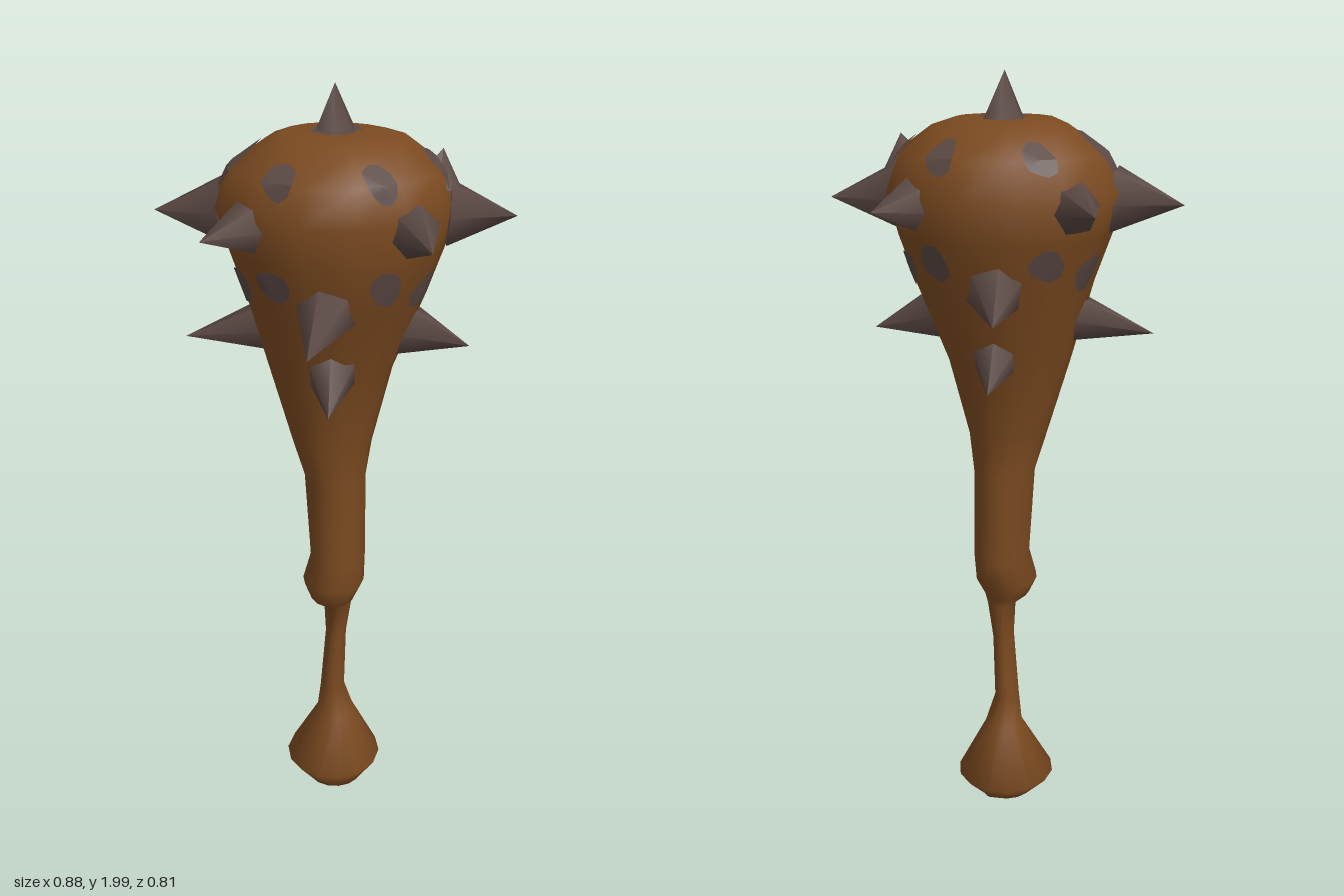
import * as THREE from 'three';

const V = (x, y, z) => new THREE.Vector3(x, y, z);

// Club cross-sections: y, left edge, right edge, back edge, front edge
const SECTIONS = [
  [0.01, 0.03, 0.05, -0.01, 0.01],
  [0.04, -0.07, 0.07, -0.06, 0.07],
  [0.115, -0.135, 0.125, -0.15, 0.13],
  [0.26, -0.05, 0.05, -0.075, 0.05],
  [0.34, -0.04, 0.025, -0.05, 0.04],
  [0.52, -0.025, 0.03, -0.05, 0.045],
  [0.62, -0.03, 0.045, -0.055, 0.05],
  [0.645, -0.065, 0.055, -0.065, 0.09],
  [0.69, -0.085, 0.078, -0.085, 0.1],
  [0.76, -0.065, 0.08, -0.105, 0.105],
  [1.0, -0.08, 0.08, -0.1, 0.092],
  [1.1, -0.11, 0.095, -0.095, 0.108],
  [1.3, -0.17, 0.145, -0.15, 0.135],
  [1.5, -0.225, 0.225, -0.225, 0.22],
  [1.62, -0.268, 0.268, -0.26, 0.25],
  [1.72, -0.3, 0.295, -0.28, 0.265],
  [1.81, -0.25, 0.262, -0.235, 0.24],
  [1.87, -0.165, 0.18, -0.165, 0.16],
  [1.89, -0.12, 0.12, -0.09, 0.1],
  [1.885, -0.005, 0.005, -0.005, 0.005],
];

function bodyGeometry(sides = 14) {
  const pos = [], index = [];
  for (const [y, x0, x1, z0, z1] of SECTIONS) {
    for (let j = 0; j < sides; j++) {
      const a = (j / sides) * Math.PI * 2;
      pos.push((x0 + x1) / 2 + Math.cos(a) * (x1 - x0) / 2, y,
        (z0 + z1) / 2 + Math.sin(a) * (z1 - z0) / 2);
    }
  }
  for (let i = 0; i < SECTIONS.length - 1; i++) {
    for (let j = 0; j < sides; j++) {
      const a = i * sides + j, b = i * sides + (j + 1) % sides;
      index.push(a, a + sides, b, b, a + sides, b + sides);
    }
  }
  // Close the butt of the handle
  for (let j = 1; j < sides - 1; j++) index.push(0, j, j + 1);
  const g = new THREE.BufferGeometry();
  g.setAttribute('position', new THREE.Float32BufferAttribute(pos, 3));
  g.setIndex(index);
  g.computeVertexNormals();
  return g;
}

// Cone from a base centre to a tip, sunk slightly into the wood
function spike(base, tip, radius, material) {
  const dir = tip.clone().sub(base);
  const length = dir.length();
  const g = new THREE.ConeGeometry(radius, length, 6);
  g.translate(0, length / 2, 0);
  const mesh = new THREE.Mesh(g, material);
  mesh.position.copy(base);
  mesh.quaternion.setFromUnitVectors(V(0, 1, 0), dir.normalize());
  mesh.name = 'spike';
  return mesh;
}

// Thin irregular spot draped over the club around a point
function spot(body, centre, radius, material) {
  const up = centre.y > 1.86;
  const inward = up ? V(0, -1, 0) : V(-centre.x, 0, -centre.z).normalize();
  const side = up ? V(1, 0, 0) : V(0, 1, 0).cross(inward).negate();
  const rise = up ? V(0, 0, -1) : V(0, 1, 0);
  if (!up) side.copy(rise).cross(inward.clone().negate());
  const ray = new THREE.Raycaster();
  const g = new THREE.RingGeometry(0.001, radius, 10, 4);
  const p = g.attributes.position;
  for (let i = 0; i < p.count; i++) {
    const a = Math.atan2(p.getY(i), p.getX(i));
    const wobble = 1 + 0.12 * Math.sin(2 * a + centre.x * 30) + 0.08 * Math.cos(3 * a + centre.z * 20);
    const start = centre.clone()
      .addScaledVector(side, p.getX(i) * wobble)
      .addScaledVector(rise, p.getY(i) * wobble)
      .addScaledVector(inward, -0.5);
    ray.set(start, inward);
    const hit = ray.intersectObject(body)[0];
    const q = hit ? hit.point.addScaledVector(hit.face.normal, 0.005) : centre;
    p.setXYZ(i, q.x, q.y, q.z);
  }
  g.computeVertexNormals();
  const mesh = new THREE.Mesh(g, material);
  mesh.name = 'spot';
  return mesh;
}

export function createModel() {
  const wood = new THREE.MeshStandardMaterial({ name: 'brown wood', color: 0x7b4a20 });
  const iron = new THREE.MeshStandardMaterial({ name: 'dark spike', color: 0x5a4843 });
  const model = new THREE.Group();
  model.name = 'spikedClub';

  const body = new THREE.Mesh(bodyGeometry(), wood);
  body.name = 'clubBody';
  model.add(body);
  body.updateMatrixWorld(true);

  // Spikes: base, tip, radius
  const spikes = new THREE.Group();
  spikes.name = 'spikes';
  const add = (b, t, r) => spikes.add(spike(V(...b), V(...t), r, iron));
  add([0, 1.87, -0.01], [0, 2.0, 0], 0.06);
  add([0.27, 1.70, 0], [0.437, 1.69, -0.01], 0.085);
  add([-0.27, 1.70, 0], [-0.44, 1.69, -0.01], 0.085);
  add([0.16, 1.41, 0], [0.335, 1.36, 0], 0.075);
  add([-0.16, 1.41, 0], [-0.375, 1.37, 0], 0.07);
  add([0.245, 1.76, 0], [0.255, 1.85, -0.01], 0.065);
  add([0.19, 1.70, 0.18], [0.235, 1.70, 0.352], 0.065);
  add([-0.19, 1.70, 0.17], [-0.28, 1.71, 0.325], 0.065);
  add([0.19, 1.70, -0.18], [0.245, 1.71, -0.365], 0.065);
  add([-0.19, 1.70, -0.18], [-0.26, 1.71, -0.36], 0.065);
  for (const s of [1, -1]) {
    add([-0.01, 1.51, s * 0.2], [-0.038, 1.465, s * 0.406], 0.075);
    add([0, 1.335, s * 0.12], [0, 1.265, s * 0.26], 0.07);
  }
  model.add(spikes);

  // Bare spots between the spikes and around their roots
  const spots = new THREE.Group();
  spots.name = 'spots';
  const mark = (x, y, z, r) => spots.add(spot(body, V(x, y, z), r, iron));
  mark(0, 1.89, -0.005, 0.06);
  for (const sx of [1, -1]) {
    mark(sx * 0.26, 1.8, 0, 0.055);
    for (const sz of [1, -1]) {
      mark(sx * 0.12, 1.81, sz * 0.21, 0.038);
      mark(sx * 0.13, 1.57, sz * 0.2, 0.042);
      mark(sx * 0.22, 1.54, sz * 0.1, 0.045);
    }
  }
  model.add(spots);
  return model;
}
